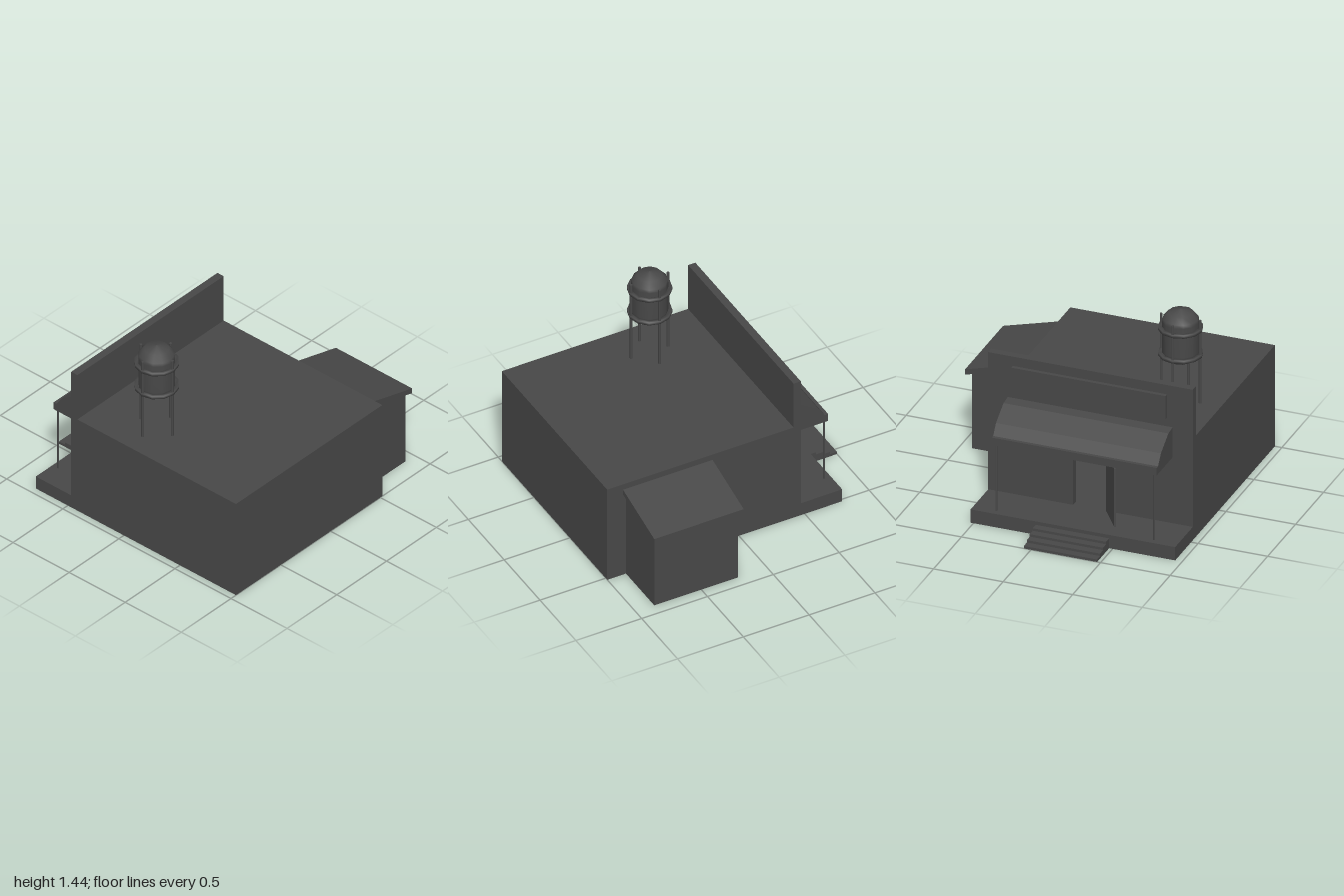
import * as THREE from 'three';

export function createModel() {
  const root = new THREE.Group();
  const mat = new THREE.MeshStandardMaterial({ color: 0x484848 });

  const add = (name, geo, parent = root) => {
    const mesh = new THREE.Mesh(geo, mat);
    mesh.name = name;
    parent.add(mesh);
    return mesh;
  };
  // box given by its limits on each axis
  const box = (name, x0, x1, y0, y1, z0, z1, parent) =>
    add(name, new THREE.BoxGeometry(x1 - x0, y1 - y0, z1 - z0)
      .translate((x0 + x1) / 2, (y0 + y1) / 2, (z0 + z1) / 2), parent);
  const shapeOf = (pts) => new THREE.Shape(pts.map(([a, b]) => new THREE.Vector2(a, b)));
  // (x, y) profile swept from z0 to z1
  const alongZ = (name, pts, z0, z1, parent) =>
    add(name, new THREE.ExtrudeGeometry(shapeOf(pts), { depth: z1 - z0, bevelEnabled: false })
      .translate(0, 0, z0), parent);
  // (z, y) profile swept from x0 to x1
  const alongX = (name, shape, x0, x1, parent) =>
    add(name, new THREE.ExtrudeGeometry(shape, { depth: x1 - x0, bevelEnabled: false })
      .rotateY(-Math.PI / 2).translate(x1, 0, 0), parent);
  const group = (name) => {
    const g = new THREE.Group();
    g.name = name;
    root.add(g);
    return g;
  };

  // hollow main building
  const building = group('building');
  const back = -0.52, front = 0.95, roofY = 0.76, t = 0.04;
  box('floor', -0.415, 1, 0, 0.1, back, front, building);
  box('roof', -0.415, 1, roofY - t, roofY, back, front, building);
  box('endWall', 1 - t, 1, 0.1, roofY - t, back, front, building);
  box('backWall', -0.415, 1 - t, 0.1, roofY - t, back, back + t, building);
  box('frontWall', -0.415, 1 - t, 0.1, roofY - t, front - t, front, building);

  // tall entrance wall with doorway
  const wall = shapeOf([[back, 0], [front, 0], [front, 1.13], [back, 1.13]]);
  wall.holes.push(new THREE.Path([[0.09, 0.1], [0.09, 0.545], [0.335, 0.545], [0.335, 0.1]]
    .map(([a, b]) => new THREE.Vector2(a, b))));
  alongX('entranceWall', wall, -0.47, -0.415, building);
  box('signBoard', -0.497, -0.47, 0.885, 1.06, -0.345, 0.765, building);

  // door standing open on its hinge
  const doorWidth = 0.244;
  const door = add('door', new THREE.BoxGeometry(doorWidth, 0.437, 0.012)
    .translate(-doorWidth / 2, 0.3265, 0));
  door.position.set(-0.477, 0, 0.335);
  door.rotation.y = Math.atan2(0.14, 0.2);

  // porch, steps and canopy
  const porch = group('porch');
  box('porchFloor', -0.785, -0.47, 0, 0.1, back, front, porch);
  const steps = [[-0.785, 0], [-1, 0]];
  for (let i = 0; i < 4; i++) {
    const y = 0.0185 * (i + 1);
    steps.push([-1 + i * 0.0537, y], [-1 + (i + 1) * 0.0537, y]);
  }
  alongZ('steps', steps.reverse(), -0.052, 0.475, porch);
  alongZ('canopy', [[-0.47, 0.595], [-0.47, 0.82], [-0.545, 0.81], [-0.68, 0.725],
    [-0.73, 0.652], [-0.755, 0.652], [-0.755, 0.595]], -0.38, 0.805, porch);
  for (const z of [-0.355, 0.78]) {
    add('canopyPost', new THREE.CylinderGeometry(0.007, 0.007, 0.5, 8), porch)
      .position.set(-0.737, 0.35, z);
  }

  // lean-to at the back
  const shed = group('shed');
  alongX('shedWalls', shapeOf([[-0.915, 0], [-0.52, 0], [-0.52, 0.69], [-0.915, 0.575]]),
    0.222, 0.858, shed);
  alongX('shedRoof', shapeOf([[-0.955, 0.555], [-0.52, 0.675], [-0.52, 0.715], [-0.955, 0.595]]),
    0.2, 0.88, shed);

  // water tank on four legs
  const tower = group('waterTower');
  tower.position.set(0.035, 0, 0.66);
  const lathe = (name, pts, sides) => add(name, new THREE.LatheGeometry(
    pts.map(([r, y]) => new THREE.Vector2(r, y)), sides), tower);
  lathe('tank', [[0, 1.04], [0.085, 1.063], [0.122, 1.11], [0.125, 1.13], [0.125, 1.35],
    [0.122, 1.375], [0.085, 1.417], [0, 1.443]], 12);
  for (const y of [1.112, 1.303]) {
    const a = y - 0.011, b = y + 0.011;
    lathe('ring', [[0.126, a], [0.152, a], [0.152, b], [0.126, b], [0.126, a]], 12);
  }
  for (let i = 0; i < 4; i++) {
    const a = i * Math.PI / 2;
    add('leg', new THREE.CylinderGeometry(0.01, 0.01, 0.62, 8), tower)
      .position.set(0.14 * Math.cos(a), 1.07, 0.14 * Math.sin(a));
  }

  return root;
}
